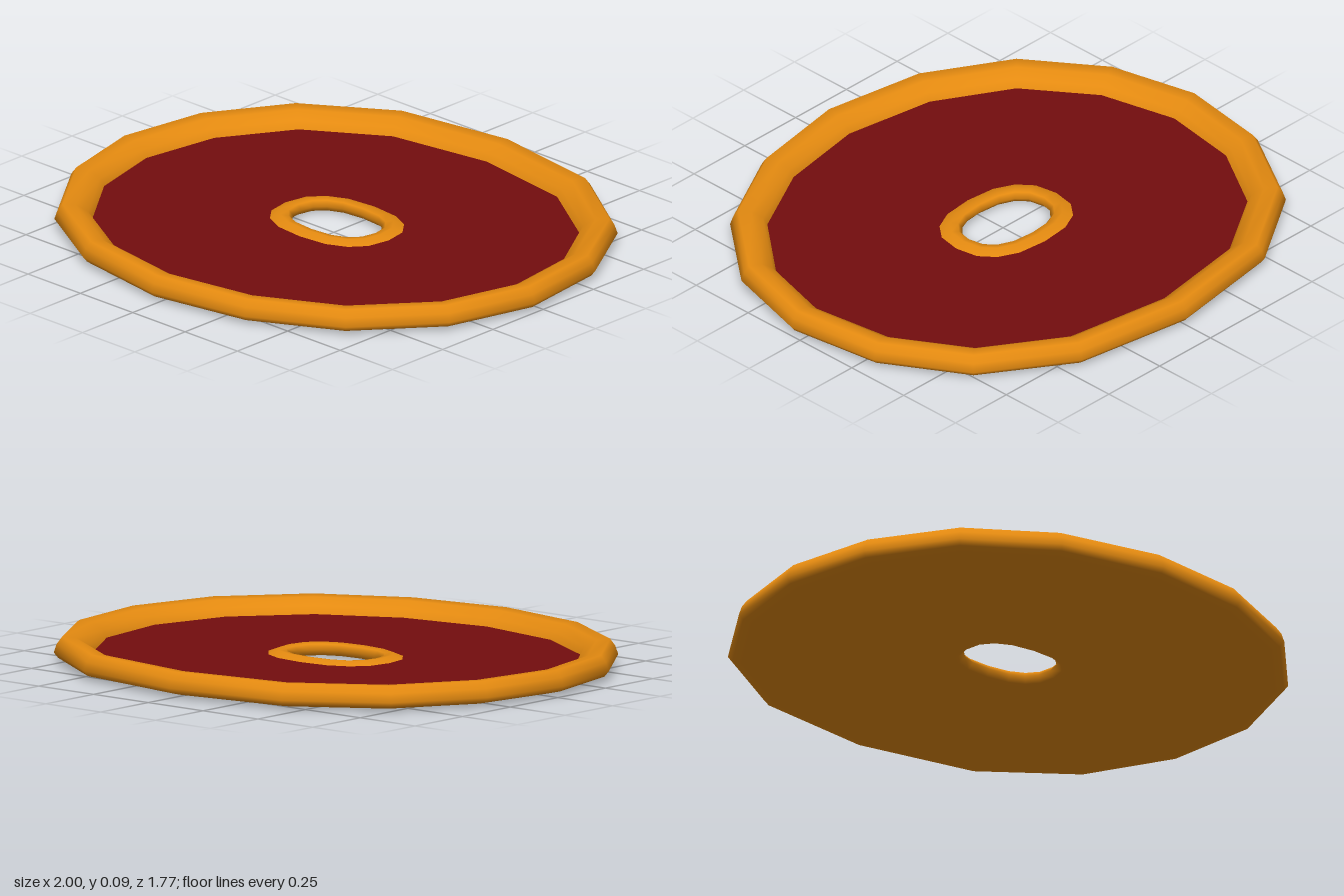
import * as THREE from 'three';

// Sixteen-cornered outline of the plate as [x, z], starting at the back
const OUTLINE = [
  [0, -0.89], [0.45, -0.82], [0.77, -0.61], [0.95, -0.31],
  [1, 0.04], [0.91, 0.37], [0.68, 0.65], [0.36, 0.82],
  [-0.02, 0.885], [-0.41, 0.82], [-0.72, 0.64], [-0.92, 0.36],
  [-1, 0.03], [-0.95, -0.31], [-0.77, -0.61], [-0.45, -0.82],
];
const N = OUTLINE.length;

// Ring following the outline, inset a little more in depth than in width
const outer = (s, y) => OUTLINE.map(([x, z]) => [x * s, y, z * (1 - (1 - s) * 1.1)]);

// Squarish oval ring around the central hole
const oval = (rx, rz, y) => OUTLINE.map((_, i) => {
  const a = (i / N) * Math.PI * 2;
  const round = (v) => Math.sign(v) * Math.abs(v) ** 0.82;
  return [rx * round(Math.sin(a)), y, -0.016 - rz * round(Math.cos(a))];
});

// Skin a list of closed rings with smooth normals
function loft(rings, material, name) {
  const index = [];
  for (let r = 0; r < rings.length - 1; r++) {
    for (let i = 0; i < N; i++) {
      const j = (i + 1) % N;
      const a = r * N + i, b = r * N + j, c = a + N, d = b + N;
      index.push(a, b, c, b, d, c);
    }
  }
  const geometry = new THREE.BufferGeometry();
  geometry.setAttribute('position', new THREE.Float32BufferAttribute(rings.flat(2), 3));
  geometry.setIndex(index);
  geometry.computeVertexNormals();
  const mesh = new THREE.Mesh(geometry, material);
  mesh.name = name;
  return mesh;
}

export function createModel() {
  const orange = new THREE.MeshStandardMaterial({ color: 0xe48a10 });
  orange.name = 'orange';
  const darkRed = new THREE.MeshStandardMaterial({ color: 0x730d0e });
  darkRed.name = 'dark red';

  const group = new THREE.Group();
  group.name = 'plate';

  // Rim, underside, hole wall and raised hole lip as one continuous skin
  group.add(loft([
    outer(0.87, 0.035),
    outer(0.885, 0.062),
    outer(0.925, 0.086),
    outer(0.972, 0.09),
    outer(0.99, 0.065),
    outer(1, 0.035),
    outer(0.985, 0.016),
    outer(0.94, 0.005),
    outer(0.85, 0),
    oval(0.25, 0.19, 0),
    oval(0.19, 0.133, 0.006),
    oval(0.172, 0.114, 0.028),
    oval(0.185, 0.127, 0.046),
    oval(0.212, 0.152, 0.05),
    oval(0.247, 0.186, 0.036),
  ], orange, 'rimAndBase'));

  // Recessed floor between the hole lip and the rim
  group.add(loft([
    oval(0.247, 0.186, 0.036),
    outer(0.87, 0.035),
  ], darkRed, 'recessedFloor'));

  return group;
}
